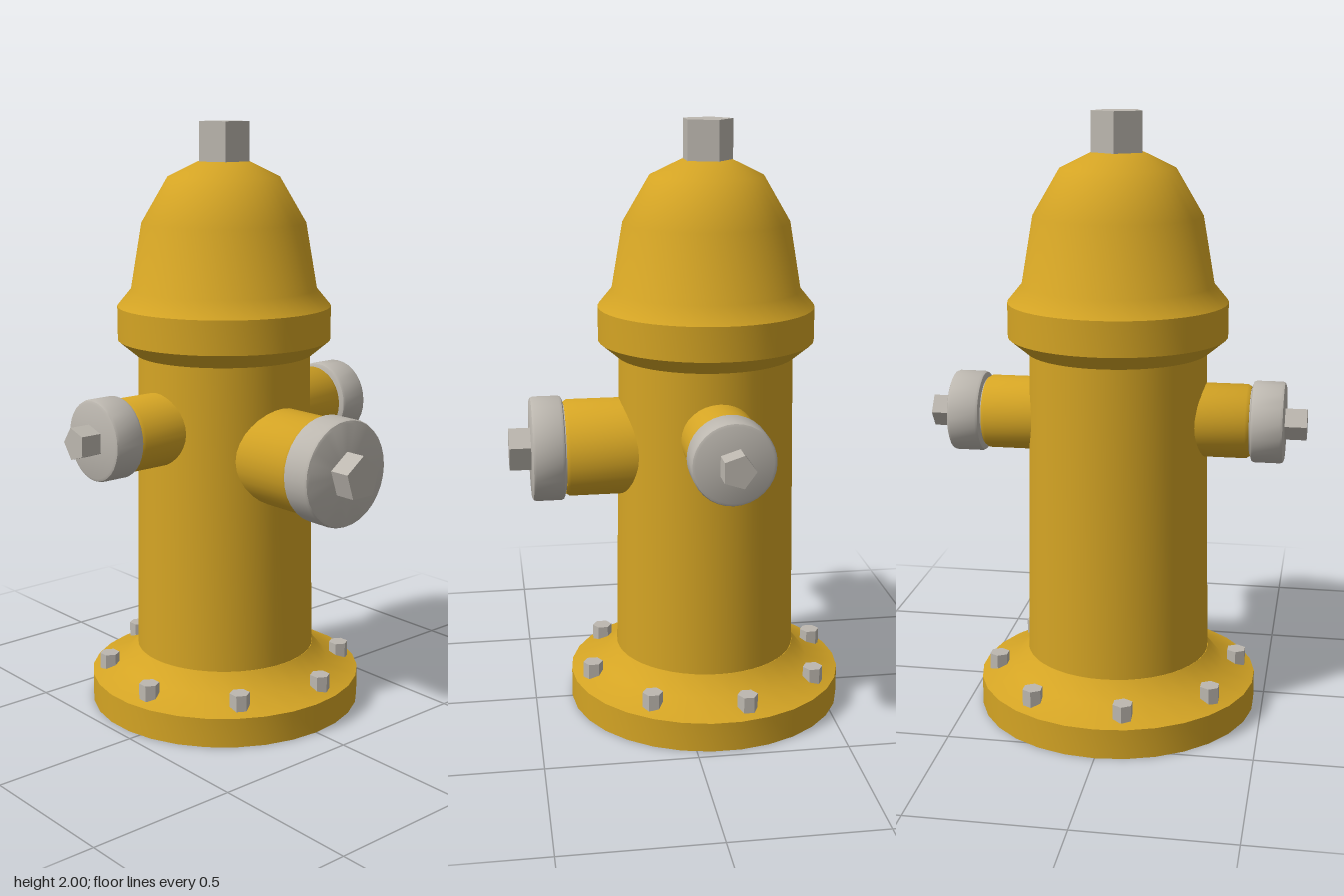
import * as THREE from 'three';
import { toCreasedNormals } from 'three/addons/utils/BufferGeometryUtils.js';

const CREASE = THREE.MathUtils.degToRad(36);

export function createModel() {
  const paint = new THREE.MeshStandardMaterial({ name: 'yellow paint', color: 0xd4a424 });
  const metal = new THREE.MeshStandardMaterial({ name: 'grey metal', color: 0xbcb7af });

  const model = new THREE.Group();
  model.name = 'fireHydrant';
  const hydrant = new THREE.Group();
  hydrant.name = 'hydrant';
  hydrant.position.z = -0.098;
  model.add(hydrant);

  function add(parent, name, geometry, material) {
    const mesh = new THREE.Mesh(toCreasedNormals(geometry, CREASE), material);
    mesh.name = name;
    parent.add(mesh);
    return mesh;
  }

  // Turned part from [radius, height] pairs, bottom to top
  function turned(parent, name, profile, material, segments = 48) {
    const points = profile.map(([r, y]) => new THREE.Vector2(r, y));
    return add(parent, name, new THREE.LatheGeometry(points, segments), material);
  }

  // Five-sided operating nut with one corner towards local -z
  function nut(parent, name, radius, from, to) {
    const geometry = new THREE.CylinderGeometry(radius, radius, to - from, 5);
    geometry.rotateY(Math.PI).translate(0, (from + to) / 2, 0);
    return add(parent, name, geometry, metal);
  }

  // Base flange, barrel and bonnet
  turned(hydrant, 'baseFlange', [[0, 0], [0.47, 0], [0.47, 0.1], [0.36, 0.137], [0.31, 0.197], [0, 0.197]], paint, 30);
  turned(hydrant, 'barrel', [[0.308, 0.19], [0.291, 1.235]], paint);
  turned(hydrant, 'bonnet', [
    [0.28, 1.23], [0.3, 1.23], [0.36, 1.28], [0.36, 1.393], [0.313, 1.45],
    [0.275, 1.67], [0.187, 1.82], [0.085, 1.87], [0, 1.87],
  ], paint);
  nut(hydrant, 'topNut', 0.087, 1.86, 2);

  // Ring of hexagonal flange bolts
  for (let i = 0; i < 8; i++) {
    const angle = (i + 0.25) * Math.PI / 4;
    const bolt = add(hydrant, 'flangeBolt', new THREE.CylinderGeometry(0.034, 0.034, 0.055, 6), metal);
    bolt.position.set(Math.cos(angle) * 0.41, 0.1375, -Math.sin(angle) * 0.41);
  }

  // Outlet built along local +y: pipe, rounded cap and nut
  function outlet(name, height, pipeRadius, capRadius, nutRadius, capStart, capEnd, nutEnd) {
    const group = new THREE.Group();
    group.name = name;
    group.position.y = height;
    hydrant.add(group);
    const pipeEnd = capStart - 0.004;
    turned(group, name + 'Pipe', [
      [pipeRadius, 0.1], [pipeRadius, pipeEnd - 0.012], [pipeRadius - 0.008, pipeEnd], [0, pipeEnd],
    ], paint, 32);
    turned(group, name + 'Neck', [[pipeRadius - 0.012, pipeEnd - 0.01], [pipeRadius - 0.012, capStart + 0.01]], metal, 32);
    const b = 0.012;
    turned(group, name + 'Cap', [
      [0, capStart], [capRadius - b, capStart], [capRadius - b * 0.3, capStart + b * 0.3], [capRadius, capStart + b],
      [capRadius, capEnd - b], [capRadius - b * 0.3, capEnd - b * 0.3], [capRadius - b, capEnd], [0, capEnd],
    ], metal, 32);
    nut(group, name + 'Nut', nutRadius, capEnd - 0.01, nutEnd);
    return group;
  }

  outlet('frontOutlet', 0.918, 0.163, 0.176, 0.074, 0.485, 0.594, 0.666).rotation.x = Math.PI / 2;
  outlet('leftOutlet', 1.005, 0.122, 0.134, 0.055, 0.445, 0.553, 0.624).rotation.z = -Math.PI / 2;
  outlet('rightOutlet', 1.005, 0.122, 0.134, 0.055, 0.445, 0.553, 0.624).rotation.z = Math.PI / 2;

  return model;
}
